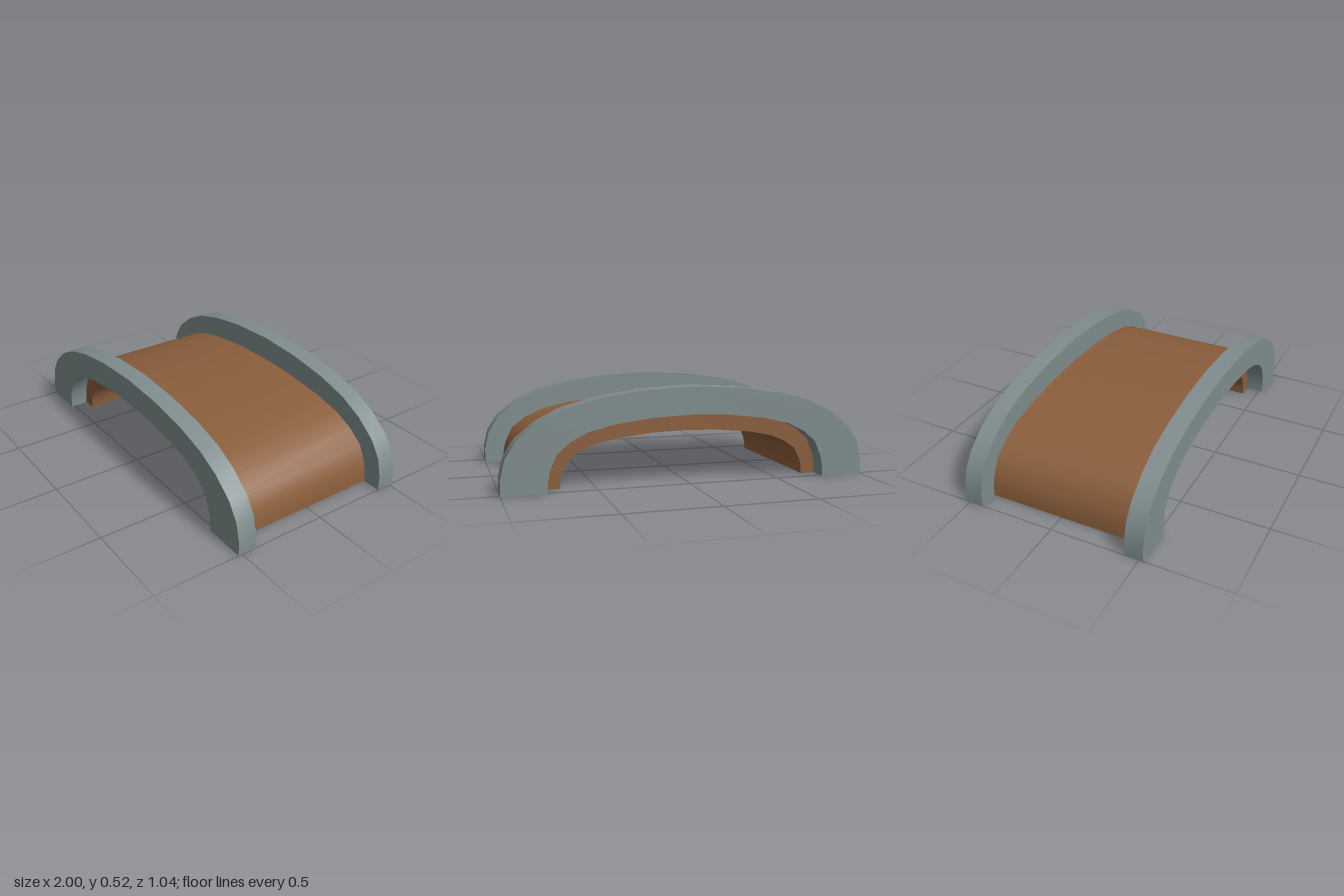
import * as THREE from 'three';
import { toCreasedNormals } from 'three/addons/utils/BufferGeometryUtils.js';

// Half arch outlines from base to crown, as fractions of half width and height
const OUTER = [[1, 0], [1, 0.155], [0.976, 0.353], [0.917, 0.525], [0.806, 0.694],
  [0.676, 0.816], [0.5, 0.908], [0.27, 0.973], [0, 1]];
const INNER = [[1, 0], [0.997, 0.14], [0.983, 0.3], [0.935, 0.53], [0.846, 0.69],
  [0.72, 0.82], [0.54, 0.91], [0.27, 0.98], [0, 1]];

// Full arch from right foot over the crown to left foot
function arch(profile, halfWidth, height) {
  const half = profile.map(([x, y]) => new THREE.Vector2(x * halfWidth, y * height));
  const mirrored = half.slice(0, -1).reverse().map((p) => new THREE.Vector2(-p.x, p.y));
  return [...half, ...mirrored];
}

// Curved band between two arches, extruded along z
function band(name, outer, inner, zBack, zFront, material) {
  const shape = new THREE.Shape([...outer, ...inner.slice().reverse()]);
  const extruded = new THREE.ExtrudeGeometry(shape, { depth: zFront - zBack, bevelEnabled: false });
  const mesh = new THREE.Mesh(toCreasedNormals(extruded, 0.65), material);
  mesh.name = name;
  mesh.position.z = zBack;
  return mesh;
}

export function createModel() {
  const steel = new THREE.MeshStandardMaterial({ name: 'greySteel', color: 0x7f8c8d });
  const brown = new THREE.MeshStandardMaterial({ name: 'brownShell', color: 0x8b5e3c });
  const group = new THREE.Group();
  group.name = 'flangedHalfShell';

  // Curved shell between the flanges
  group.add(band('shell', arch(INNER, 0.895, 0.385), arch(INNER, 0.685, 0.277), -0.418, 0.418, brown));

  // Raised flange at each end
  const rim = arch(OUTER, 1, 0.523);
  const opening = arch(INNER, 0.765, 0.374);
  group.add(band('frontFlange', rim, opening, 0.418, 0.522, steel));
  group.add(band('backFlange', rim, opening, -0.522, -0.418, steel));
  return group;
}
